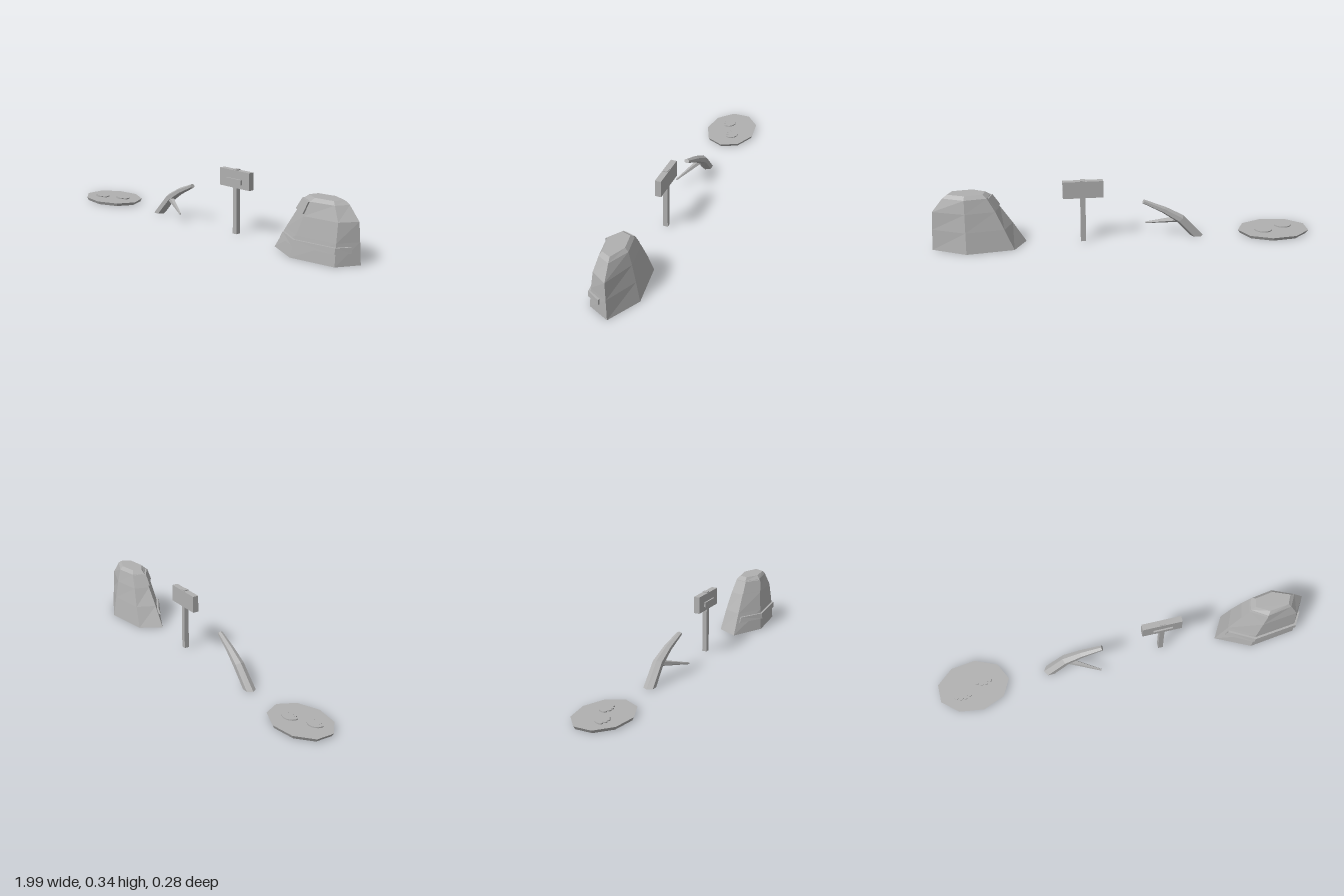
import * as THREE from 'three';

const stone = new THREE.MeshStandardMaterial({ color: 0xb0b0b0, flatShading: true });
stone.name = 'plain grey';

// Skin between equal-sized rings of [x, y, z] points, closed at both ends
function loft(rings) {
  const pos = [];
  const n = rings[0].length;
  const tri = (a, b, c) => pos.push(...a, ...b, ...c);
  for (let r = 0; r < rings.length - 1; r++) {
    const lo = rings[r], hi = rings[r + 1];
    for (let i = 0; i < n; i++) {
      const j = (i + 1) % n;
      tri(lo[i], lo[j], hi[j]);
      tri(lo[i], hi[j], hi[i]);
    }
  }
  const first = rings[0], last = rings[rings.length - 1];
  for (let i = 1; i < n - 1; i++) {
    tri(first[0], first[i + 1], first[i]);
    tri(last[0], last[i], last[i + 1]);
  }
  const g = new THREE.BufferGeometry();
  g.setAttribute('position', new THREE.Float32BufferAttribute(pos, 3));
  g.computeVertexNormals();
  return g;
}

function add(parent, name, geometry, x = 0, y = 0, z = 0) {
  const m = new THREE.Mesh(geometry, stone);
  m.name = name;
  m.position.set(x, y, z);
  parent.add(m);
  return m;
}

function group(parent, name) {
  const g = new THREE.Group();
  g.name = name;
  parent.add(g);
  return g;
}

// Rock corners [x, z]: left tip, front, front right, right tip, back, back left
const levels = [
  { y: 0, p: [[0.51, 0.03], [0.69, 0.118], [0.935, 0.085], [0.995, -0.03], [0.82, -0.118], [0.575, -0.085]] },
  { y: 0.11, p: [[0.577, 0.025], [0.712, 0.102], [0.933, 0.075], [0.99, -0.026], [0.82, -0.1], [0.622, -0.074]] },
  { y: 0.205, p: [[0.64, 0.02], [0.742, 0.085], [0.93, 0.062], [0.985, -0.022], [0.82, -0.083], [0.665, -0.06]] },
  { y: 0.275, p: [[0.685, 0.015], [0.765, 0.068], [0.895, 0.046], [0.93, -0.018], [0.82, -0.067], [0.705, -0.048]] },
  { y: 0.293, p: [[0.71, 0.012], [0.778, 0.05], [0.88, 0.036], [0.905, -0.014], [0.818, -0.05], [0.725, -0.035]] },
];

// Point on the rock wall: u counts corners, y is height, out is the offset
function wall(u, y, out) {
  let k = 0;
  while (k < levels.length - 2 && y > levels[k + 1].y) k++;
  const t = (y - levels[k].y) / (levels[k + 1].y - levels[k].y);
  const i = Math.floor(u), f = u - i;
  const mix = (a, b, s) => a + (b - a) * s;
  const corner = (c, axis) => mix(levels[k].p[(c + 6) % 6][axis], levels[k + 1].p[(c + 6) % 6][axis], t);
  const x = mix(corner(i, 0), corner(i + 1, 0), f);
  const z = mix(corner(i, 1), corner(i + 1, 1), f);
  const n = new THREE.Vector2((x - 0.78) / 0.06, z / 0.012).normalize();
  return [x + n.x * out, y, z + n.y * out];
}

// Raised strip that follows the rock wall
function strip(us, y0, y1, out) {
  return loft(us.map((u) => [wall(u, y0, -0.005), wall(u, y1, -0.005), wall(u, y1, out), wall(u, y0, out)]));
}

// Hexagonal ring; (ax, ay) is the half thickness, w the half width in z
function hexRing([x, y, z, ax, ay, w]) {
  return Array.from({ length: 6 }, (_, i) => {
    const a = (i * Math.PI) / 3;
    return [x - ax * Math.cos(a), y - ay * Math.cos(a), z + w * Math.sin(a)];
  });
}

// Flat paw outline: rounded heel with a row of toes
function pawGeometry() {
  const s = new THREE.Shape();
  s.moveTo(0.046, 0.012);
  for (let i = 0; i < 4; i++) {
    const x = 0.0345 - i * 0.023;
    s.absarc(x, i === 0 || i === 3 ? 0.012 : 0.022, 0.0115, 0, Math.PI, false);
  }
  s.absellipse(0, 0.008, 0.046, 0.04, Math.PI, Math.PI * 2, false);
  const g = new THREE.ExtrudeGeometry(s, { depth: 0.008, bevelEnabled: false, curveSegments: 4 });
  return g.rotateX(Math.PI / 2);
}

export function createModel() {
  const model = new THREE.Group();
  model.name = 'trailProps';

  // Nine-sided slab with two paw prints
  const slab = group(model, 'pawSlab');
  const disc = new THREE.CylinderGeometry(1, 0.94, 0.017, 9).rotateY(Math.PI / 2).scale(0.193, 1, 0.141);
  // First corner of the disc points along +x
  add(slab, 'slabDisc', disc, -0.812, 0.0085, 0);
  add(slab, 'leftPaw', pawGeometry(), -0.755, 0.023, -0.025);
  add(slab, 'rightPaw', pawGeometry(), -0.875, 0.023, 0.03);

  // Leaning branch with a side twig
  const branch = group(model, 'branch');
  add(branch, 'branchStem', loft([
    [-0.395, 0, 0, 0.034, 0, 0.031],
    [-0.303, 0.1, -0.003, 0.018, -0.017, 0.029],
    [-0.215, 0.152, 0.003, 0.01, -0.015, 0.022],
    [-0.108, 0.199, 0.013, 0.005, -0.01, 0.015],
  ].map(hexRing)));
  const from = new THREE.Vector3(-0.29, 0.095, 0.005), to = new THREE.Vector3(-0.13, 0.053, 0.08);
  const dir = to.clone().sub(from);
  const twig = add(branch, 'branchTwig', new THREE.CylinderGeometry(0.005, 0.017, dir.length(), 5));
  twig.position.copy(from).add(to).multiplyScalar(0.5);
  twig.quaternion.setFromUnitVectors(new THREE.Vector3(0, 1, 0), dir.normalize());

  // Signpost
  const sign = group(model, 'signpost');
  add(sign, 'post', new THREE.BoxGeometry(0.026, 0.337, 0.026), 0.212, 0.1685, 0);
  add(sign, 'board', new THREE.BoxGeometry(0.21, 0.09, 0.032), 0.211, 0.287, 0);
  add(sign, 'boardPlate', new THREE.BoxGeometry(0.102, 0.026, 0.009), 0.214, 0.277, 0.02);

  // Faceted rock with a raised band and an upper flap
  const rock = group(model, 'rock');
  add(rock, 'rockBody', loft(levels.map(({ y, p }) => p.map(([x, z]) => [x, y, z]))));
  add(rock, 'rockBand', strip([0.12, 1, 2, 2.6], 0.062, 0.091, 0.012));
  add(rock, 'rockFlap', strip([-0.8, 0, 0.95], 0.215, 0.273, 0.01));

  return model;
}
